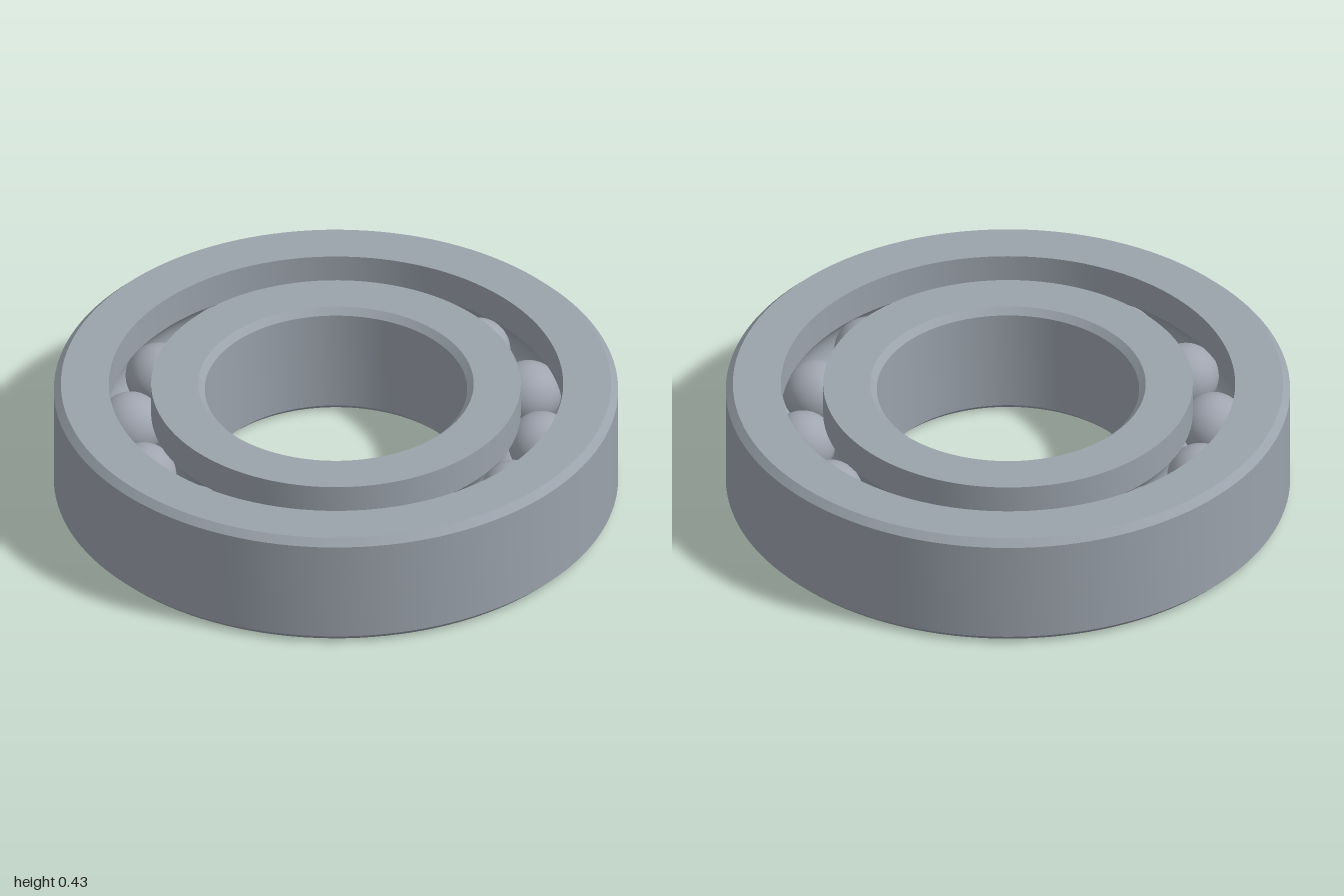
import * as THREE from 'three';
import { toCreasedNormals } from 'three/addons/utils/BufferGeometryUtils.js';

const HEIGHT = 0.43, MID = HEIGHT / 2;
const PITCH = 0.73, GAP = 0.075; // ball circle radius, half the gap between rings
const BALL_R = 0.117, GROOVE_R = 0.118, BALLS = 14;

// Arc of the ball groove, centred on the direction given (0 = outward, PI = inward)
function groove(direction) {
  const half = Math.acos(GAP / GROOVE_R), steps = 12, arc = [];
  for (let i = 0; i <= steps; i++) {
    const a = direction + half - (2 * half * i) / steps;
    arc.push([PITCH + GROOVE_R * Math.cos(a), MID + GROOVE_R * Math.sin(a)]);
  }
  return arc;
}

// Closed ring turned from a counter-clockwise profile, keeping its edges sharp
function ring(name, profile, material) {
  const points = [...profile, profile[0]].map(([r, y]) => new THREE.Vector2(r, y));
  const geometry = toCreasedNormals(new THREE.LatheGeometry(points, 128), Math.PI / 6);
  const mesh = new THREE.Mesh(geometry, material);
  mesh.name = name;
  return mesh;
}

export function createModel() {
  const ringSteel = new THREE.MeshStandardMaterial({ color: 0x9aa2ab });
  ringSteel.name = 'ring steel';
  const ballSteel = new THREE.MeshStandardMaterial({ color: 0xa0a5b0 });
  ballSteel.name = 'ball steel';

  const model = new THREE.Group();
  model.name = 'ballBearing';

  // Outer ring: chamfered outside, grooved inside
  const c = 0.025, wallOut = PITCH + GAP;
  model.add(ring('outerRing', [
    [wallOut, 0], [1 - c, 0], [1, c], [1, HEIGHT - c], [1 - c, HEIGHT], [wallOut, HEIGHT],
    ...groove(0),
  ], ringSteel));

  // Inner ring: grooved outside, chamfered bore
  const bore = 0.465, wallIn = PITCH - GAP, b = 0.023;
  model.add(ring('innerRing', [
    [bore + b, 0], [wallIn, 0],
    ...groove(Math.PI),
    [wallIn, HEIGHT], [bore + b, HEIGHT], [bore, HEIGHT - b], [bore, b],
  ], ringSteel));

  // Balls spaced evenly in the groove
  const balls = new THREE.Group();
  balls.name = 'balls';
  const ballGeometry = new THREE.SphereGeometry(BALL_R, 40, 24);
  for (let i = 0; i < BALLS; i++) {
    const a = (i / BALLS) * Math.PI * 2 + 0.016;
    const ball = new THREE.Mesh(ballGeometry, ballSteel);
    ball.name = 'ball';
    ball.position.set(-PITCH * Math.sin(a), MID, -PITCH * Math.cos(a));
    balls.add(ball);
  }
  model.add(balls);

  return model;
}
